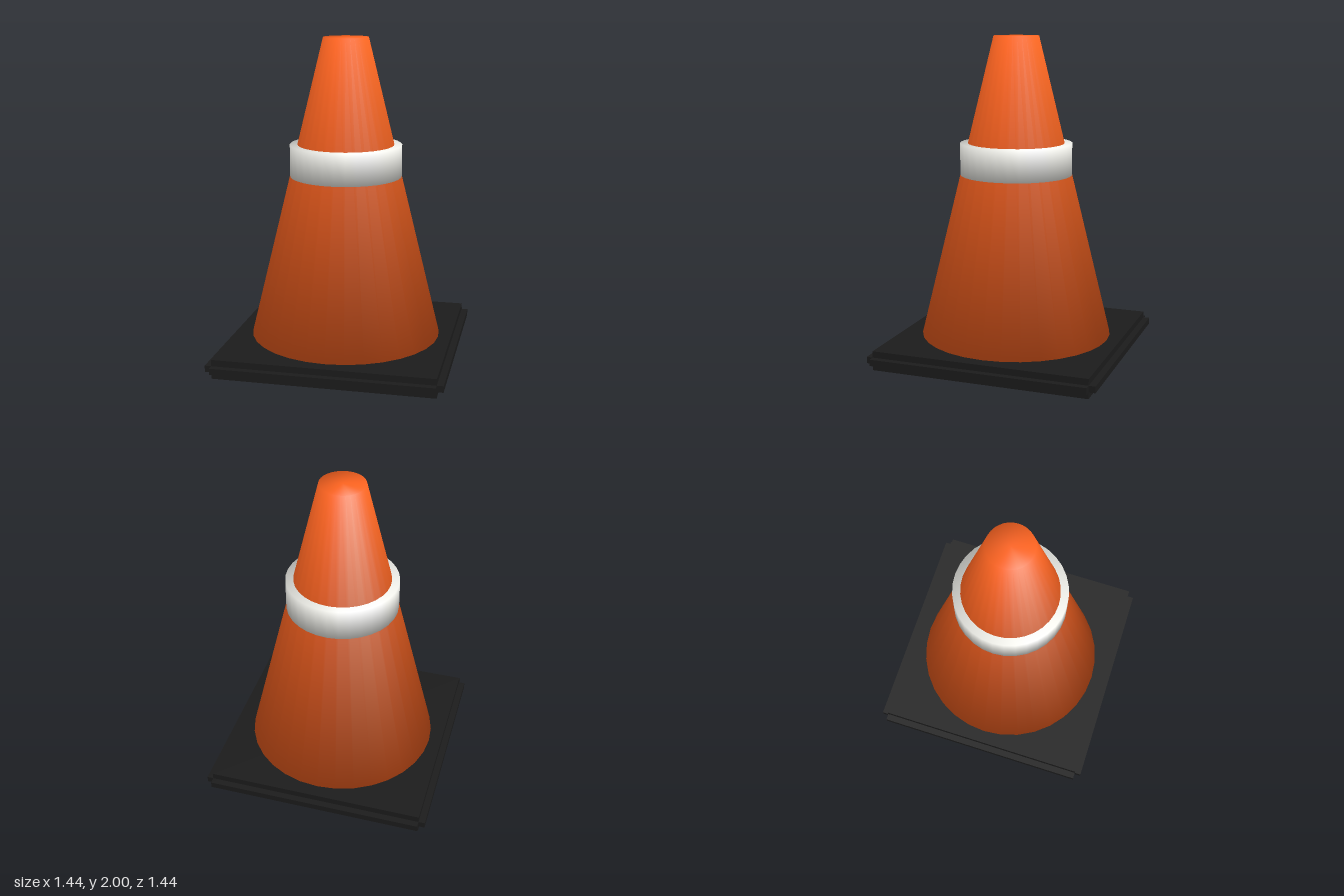
import * as THREE from 'three';

const SEGMENTS = 32;

// Closed frustum whose normals blend softly across the rims
function softFrustum(name, rBottom, rTop, y0, y1, color) {
  const profile = [[0, y0], [rBottom, y0], [rTop, y1], [0, y1]].map(([x, y]) => new THREE.Vector2(x, y));
  const geometry = new THREE.LatheGeometry(profile, SEGMENTS);
  const side = new THREE.Vector2(y1 - y0, rBottom - rTop).normalize();
  const low = new THREE.Vector2(side.x, side.y - 1).normalize();
  const high = new THREE.Vector2(side.x, side.y + 1).normalize();
  const rimNormals = [new THREE.Vector2(0, -1), low, high, new THREE.Vector2(0, 1)];
  const normal = geometry.attributes.normal;
  for (let i = 0; i < normal.count; i++) {
    const n = rimNormals[i % 4];
    const a = Math.floor(i / 4) / SEGMENTS * Math.PI * 2;
    normal.setXYZ(i, n.x * Math.sin(a), n.y, n.x * Math.cos(a));
  }
  const mesh = new THREE.Mesh(geometry, new THREE.MeshStandardMaterial({ color }));
  mesh.name = name;
  return mesh;
}

export function createModel() {
  const model = new THREE.Group();
  model.name = 'trafficCone';

  // Square rubber foot with a thin lip along each edge
  const base = new THREE.Group();
  base.name = 'base';
  const rubber = new THREE.MeshStandardMaterial({ color: 0x1c1c1c });
  for (const [name, w, h, d] of [
    ['baseSlab', 1.36, 0.12, 1.36],
    ['sideLips', 1.44, 0.04, 1.36],
    ['frontBackLips', 1.36, 0.04, 1.44],
  ]) {
    const slab = new THREE.Mesh(new THREE.BoxGeometry(w, h, d), rubber);
    slab.name = name;
    slab.position.y = 0.06;
    base.add(slab);
  }
  model.add(base);

  // Tapered body and the pale band around it
  model.add(softFrustum('coneBody', 0.6, 0.14, 0.12, 2, 0xff6420));
  model.add(softFrustum('reflectiveBand', 0.35, 0.35, 1.13, 1.34, 0xf0f0ea));

  return model;
}
